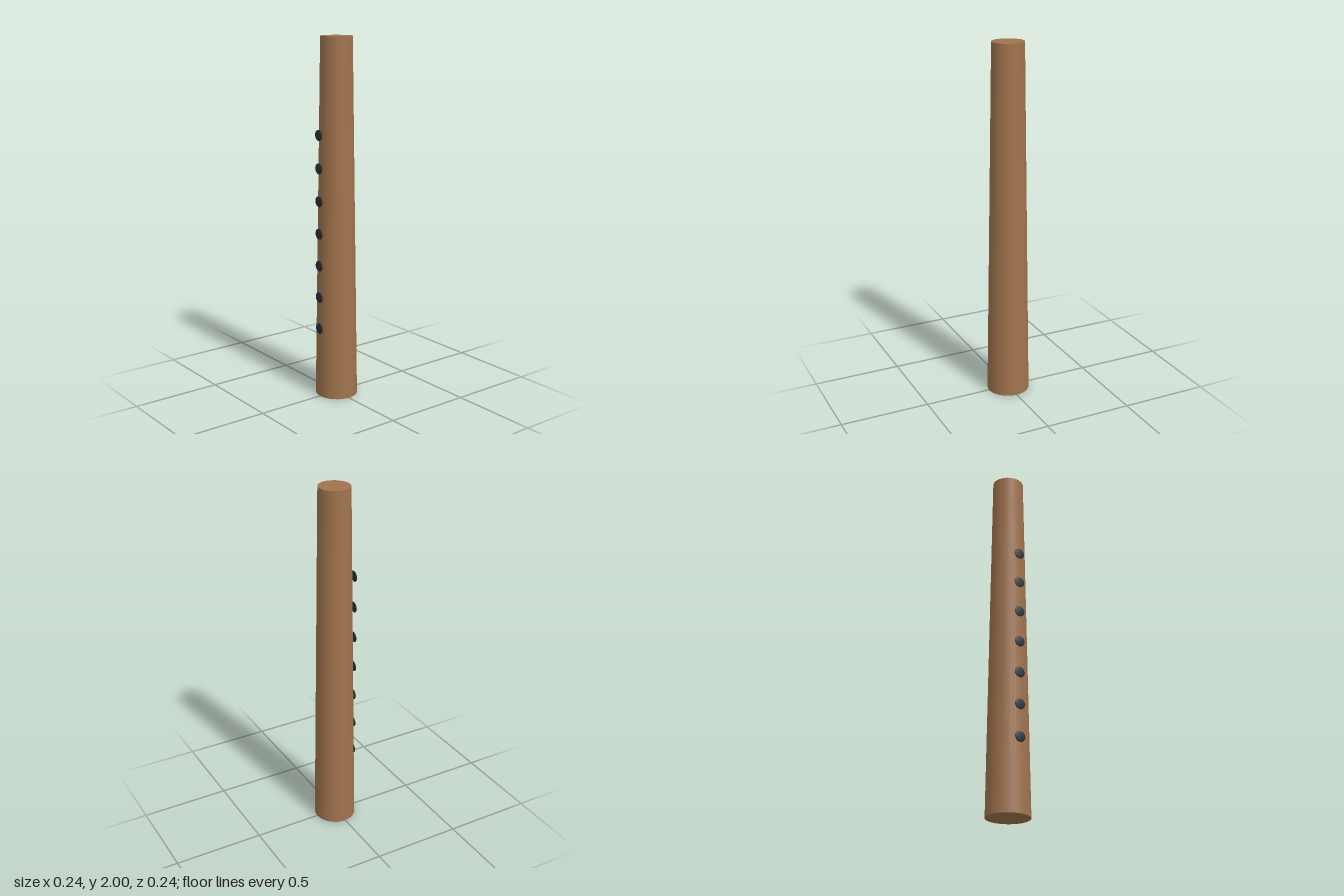
import * as THREE from 'three';

export function createModel() {
  const model = new THREE.Group();
  model.name = 'flute';

  const wood = new THREE.MeshStandardMaterial({ color: 0xa0734e });
  wood.name = 'warm wood';
  const dark = new THREE.MeshStandardMaterial({ color: 0x263238 });
  dark.name = 'dark slate';

  // Tapered body, slightly flattened front to back
  const body = new THREE.Mesh(new THREE.CylinderGeometry(0.088, 0.12, 2, 32), wood);
  body.name = 'body';
  body.scale.z = 0.97;
  body.position.set(0, 1, -0.004);
  model.add(body);

  // Row of seven finger holes, thin lens shapes down the front
  const holes = new THREE.Group();
  holes.name = 'fingerHoles';
  const lens = new THREE.SphereGeometry(1, 24, 16).scale(0.031, 0.03, 0.0048);
  for (let i = 0; i < 7; i++) {
    const hole = new THREE.Mesh(lens, dark);
    hole.name = `fingerHole${i + 1}`;
    hole.position.set(0, 0.402 + i * 0.18, 0.1155);
    holes.add(hole);
  }
  model.add(holes);

  return model;
}
